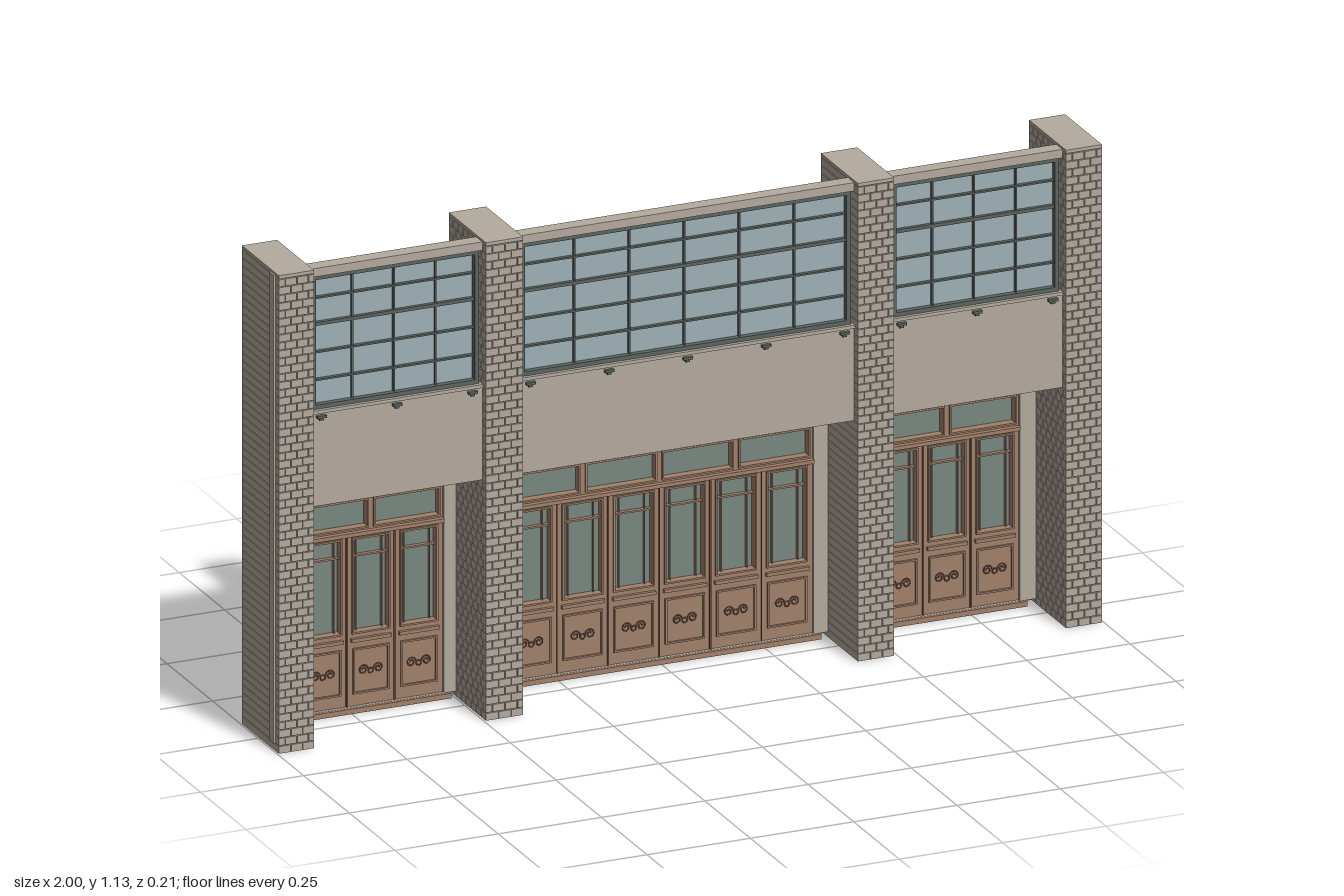
import * as THREE from 'three';
import { mergeGeometries } from 'three/addons/utils/BufferGeometryUtils.js';

const H = 1.135;

export function createModel() {
  const mat = (name, color, side = THREE.FrontSide) => {
    const m = new THREE.MeshStandardMaterial({ color, side });
    m.name = name;
    return m;
  };
  const stone = mat('stone', 0xb4ab9f);
  const wood = mat('wood', 0xa2806b);
  const darkWood = mat('darkWood', 0x755a4a);
  const metal = mat('windowMetal', 0x5b6460);
  const skyGlass = mat('upperGlass', 0x9fb0b6);
  const doorGlass = mat('doorGlass', 0x78867f);

  const root = new THREE.Group();
  root.name = 'facade';

  // Box given by its two extreme corners
  const span = (x0, x1, y0, y1, z0, z1) =>
    new THREE.BoxGeometry(x1 - x0, y1 - y0, z1 - z0)
      .translate((x0 + x1) / 2, (y0 + y1) / 2, (z0 + z1) / 2);
  const add = (parent, name, geos, material) => {
    const mesh = new THREE.Mesh(Array.isArray(geos) ? mergeGeometries(geos) : geos, material);
    mesh.name = name;
    parent.add(mesh);
    return mesh;
  };
  const group = (name) => {
    const g = new THREE.Group();
    g.name = name;
    root.add(g);
    return g;
  };
  const rect = (P, x0, x1, y0, y1) => {
    const p = new P();
    p.moveTo(x0, y0); p.lineTo(x1, y0); p.lineTo(x1, y1); p.lineTo(x0, y1); p.closePath();
    return p;
  };
  // Flat plate with rectangular holes, from z0 to z1
  const plate = (outer, holes, z0, z1) => {
    const s = rect(THREE.Shape, ...outer);
    holes.forEach((h) => s.holes.push(rect(THREE.Path, ...h)));
    return new THREE.ExtrudeGeometry(s, { depth: z1 - z0, bevelEnabled: false }).translate(0, 0, z0);
  };

  // Brick-clad pillar: plain core, back plate and cap, bricks on three sides
  function pillar(x0, x1) {
    const g = group('pillar');
    const d = 0.003, gap = 0.002, zb = -0.09, zf = 0.105;
    add(g, 'pillarCore', [
      span(x0 + d, x1 - d, 0, H - 0.008, zb, zf - d),
      span(x0, x1, 0, H, -0.098, zb),
      span(x0, x1, H - 0.008, H, zb, zf),
    ], stone);
    const bricks = [], rows = 60, rh = (H - 0.008) / rows;
    // Brick edges along a run, every second course shifted by half a brick
    const course = (a, b, n, odd) => {
      const w = (b - a) / n, cuts = [a];
      for (let i = odd ? 0.5 : 1; i < n; i++) cuts.push(a + i * w);
      cuts.push(b);
      return cuts.slice(1).map((c, i) => [cuts[i] + (i ? gap : 0), c]);
    };
    for (let r = 0; r < rows; r++) {
      const y0 = r * rh, y1 = y0 + rh - gap, odd = r % 2;
      for (const [a, b] of course(x0, x1, 3, odd)) bricks.push(span(a, b, y0, y1, zf - d, zf));
      for (const [a, b] of course(zb, zf - d, 7, odd)) {
        bricks.push(span(x0, x0 + d, y0, y1, a, b), span(x1 - d, x1, y0, y1, a, b));
      }
    }
    add(g, 'bricks', bricks, stone);
  }
  [[-0.996, -0.911], [-0.495, -0.405], [0.405, 0.493], [0.909, 0.996]].forEach((p) => pillar(...p));

  // Narrow upright strips on the outer ends
  for (const s of [-1, 1]) {
    add(root, 'endStrip', span(s * 0.998 - 0.002, s * 0.998 + 0.002, 0.018, 1.13, 0.06, 0.085), stone);
  }

  // Steel window above the spandrel
  function upperWindow(g, x0, x1, cols) {
    const y0 = 0.793, y1 = 1.11, f = 0.01;
    add(g, 'upperGlass', span(x0, x1, y0, y1, 0.06, 0.066), skyGlass);
    const bars = [plate([x0, x1, y0, y1], [[x0 + f, x1 - f, y0 + f, y1 - f]], 0.066, 0.08)];
    for (let i = 1; i < cols; i++) {
      const x = x0 + (x1 - x0) * i / cols, w = 0.002;
      bars.push(span(x - w, x + w, y0 + f, y1 - f, 0.066, 0.073).toNonIndexed());
    }
    for (const [y, w] of [[0.86, 0.002], [0.926, 0.002], [0.993, 0.004], [1.055, 0.002]]) {
      bars.push(span(x0 + f, x1 - f, y - w, y + w, 0.066, 0.075).toNonIndexed());
    }
    add(g, 'windowBars', bars, metal);
  }

  // Scroll ornament: two mirrored curls and a centre ring
  function scroll(cx, cy, z) {
    const parts = [new THREE.TorusGeometry(0.006, 0.0016, 4, 10).translate(cx, cy - 0.004, z)];
    for (const s of [-1, 1]) {
      const pts = [];
      for (let i = 0; i <= 14; i++) {
        const a = i / 14 * Math.PI * 3, r = 0.003 + 0.009 * i / 14;
        pts.push(new THREE.Vector3(cx + s * (0.018 + r * Math.cos(a)), cy + r * Math.sin(a), z));
      }
      parts.push(new THREE.TubeGeometry(new THREE.CatmullRomCurve3(pts), 24, 0.0016, 4));
    }
    return parts;
  }

  // Door set: leaves with glazing and lower panels, transom lights above
  function doors(g, cx, w, leaves, lights) {
    const x0 = cx - w / 2, x1 = cx + w / 2, lw = w / leaves, tw = w / lights;
    const top = 0.508, zf = -0.068, holes = [], trims = [], grooves = [], curls = [], bars = [];
    const ring = (a, b, c, d, t) => plate([a - t, b + t, c - t, d + t], [[a, b, c, d]], zf, zf + 0.005);
    for (let i = 0; i < lights; i++) {
      const h = [x0 + i * tw + 0.01, x0 + (i + 1) * tw - 0.01, 0.436, 0.498];
      holes.push(h);
      trims.push(ring(...h, 0.004));
    }
    for (let i = 0; i < leaves; i++) {
      const a = x0 + i * lw, b = a + lw, m = a + lw / 2;
      const h = [a + 0.016, b - 0.016, 0.188, 0.408];
      holes.push(h);
      trims.push(ring(...h, 0.004));
      trims.push(ring(a + 0.018, b - 0.018, 0.045, 0.145, 0.004));
      bars.push(span(h[0], h[1], 0.363, 0.367, -0.084, -0.074));
      for (const s of [-1, 1]) {
        bars.push(span(m + s * 0.031 - 0.001, m + s * 0.031 + 0.001, 0.188, 0.408, -0.084, -0.076));
      }
      trims.push(span(a + 0.01, b - 0.01, 0.165, 0.173, zf, zf + 0.008).toNonIndexed());
      if (i) {
        const t = i % 2 === 0 || leaves === 3 ? 0.002 : 0.001;
        grooves.push(span(a - t, a + t, 0.012, 0.42, zf, zf + 0.003));
      }
      curls.push(...scroll(m, 0.095, zf + 0.001));
    }
    add(g, 'doorFrame', plate([x0, x1, 0.012, top], holes, -0.084, zf), wood);
    add(g, 'doorMouldings', trims, wood);
    add(g, 'glazingBars', bars, wood);
    add(g, 'transomRail', span(x0, x1, 0.418, 0.427, zf, zf + 0.012), wood);
    add(g, 'leafJoints', grooves, darkWood);
    add(g, 'scrolls', curls, darkWood);
    add(g, 'doorGlass', span(x0, x1, 0.025, top, -0.092, -0.085), doorGlass);
    add(g, 'doorSill', span(x0 - 0.015, x1 + 0.015, 0, 0.012, -0.092, -0.052), wood);
  }

  // One bay between two pillars
  function bay(name, x0, x1, doorX, doorW, leaves, lights, cols, brackets) {
    const g = group(name);
    const d0 = doorX - doorW / 2, d1 = doorX + doorW / 2;
    // Upper wall, with a ledge running back to the recessed door wall
    add(g, 'spandrel', span(x0, x1, 0.565, 0.793, 0.05, 0.085), stone);
    add(g, 'topBeam', span(x0, x1, 1.11, 1.13, 0.05, 0.085), stone);
    add(g, 'ledge', span(x0, x1, 0.565, 0.577, -0.105, 0.05), stone);
    add(g, 'doorWall', plate([x0, x1, 0, 0.565], [[d0, d1, 0.025, 0.508]], -0.104, -0.085), stone);
    add(g, 'doorSurround', plate([x0, x1, 0.012, 0.565], [[d0, d1, 0.0125, 0.508]], -0.085, -0.06), stone);
    add(g, 'windowSill', span(x0, x1, 0.785, 0.793, 0.085, 0.089), stone);
    upperWindow(g, x0 + 0.006, x1 - 0.006, cols);
    const br = [];
    for (let i = 0; i < brackets; i++) {
      const x = x0 + 0.025 + (x1 - x0 - 0.05) * i / (brackets - 1);
      br.push(span(x - 0.011, x + 0.011, 0.775, 0.781, 0.085, 0.094));
      br.push(span(x - 0.005, x + 0.005, 0.769, 0.775, 0.085, 0.091));
    }
    add(g, 'brackets', br, metal);
    doors(g, doorX, doorW, leaves, lights);
  }
  bay('rightBay', -0.911, -0.495, -0.698, 0.348, 3, 2, 4, 3);
  bay('centreBay', -0.405, 0.405, 0, 0.742, 6, 4, 6, 5);
  bay('leftBay', 0.493, 0.909, 0.696, 0.348, 3, 2, 4, 3);

  return root;
}
